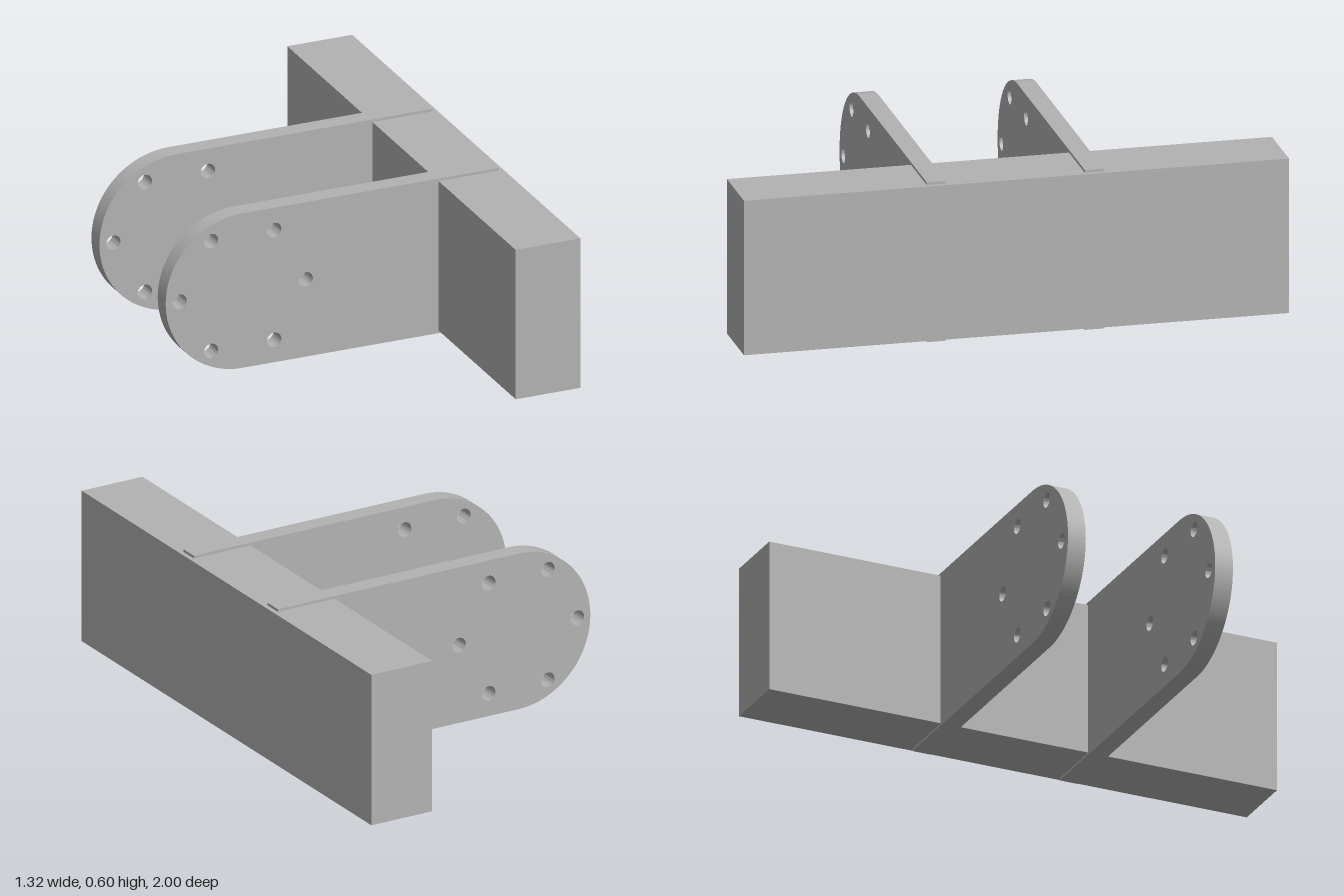
import * as THREE from 'three';
import { toCreasedNormals } from 'three/addons/utils/BufferGeometryUtils.js';

const R = 0.3;           // rounded end radius, half the plate height
const CX = -0.36;        // centre of the rounded end and the bolt circle
const THICK = 0.07;

// Side plate: round-ended profile with six holes on a bolt circle
function plateGeometry() {
  const shape = new THREE.Shape();
  shape.moveTo(CX, 0);
  shape.lineTo(0.64, 0);
  shape.lineTo(0.64, 2 * R);
  shape.lineTo(CX, 2 * R);
  shape.absarc(CX, R, R, Math.PI / 2, Math.PI * 1.5, false);
  for (let i = 0; i < 6; i++) {
    const a = (i * Math.PI) / 3;
    const hole = new THREE.Path();
    hole.absarc(CX + 0.246 * Math.cos(a), R + 0.246 * Math.sin(a), 0.028, 0, Math.PI * 2, true);
    shape.holes.push(hole);
  }
  const geo = new THREE.ExtrudeGeometry(shape, { depth: THICK, bevelEnabled: false, curveSegments: 32 });
  geo.translate(0, 0, -THICK / 2);
  return toCreasedNormals(geo, Math.PI / 6);
}

export function createModel() {
  const model = new THREE.Group();
  model.name = 'bracket';
  const grey = new THREE.MeshStandardMaterial({ color: 0xb2b2b2 });
  grey.name = 'plain grey';

  // Cross beam
  const beam = new THREE.Mesh(new THREE.BoxGeometry(0.253, 0.58, 2), grey);
  beam.name = 'crossBeam';
  beam.position.set(0.531, R, 0);
  model.add(beam);

  // Pair of plates let into the beam
  const geo = plateGeometry();
  for (const [name, z] of [['frontPlate', 0.29], ['backPlate', -0.29]]) {
    const plate = new THREE.Mesh(geo, grey);
    plate.name = name;
    plate.position.z = z;
    model.add(plate);
  }
  return model;
}
